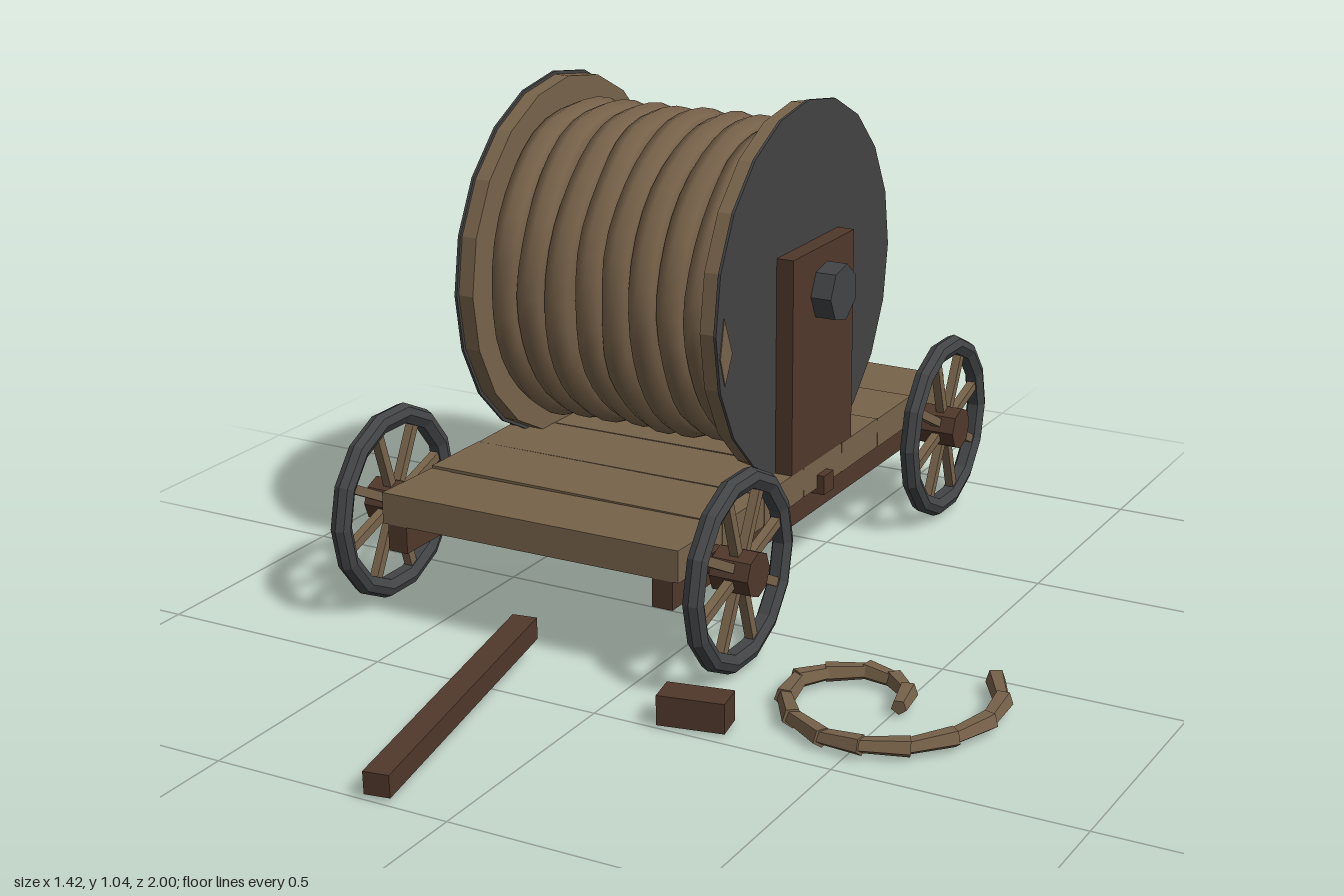
import * as THREE from 'three';

const mat = (name, color) => {
  const m = new THREE.MeshStandardMaterial({ color });
  m.name = name;
  return m;
};

export function createModel() {
  const wood = mat('pale wood', 0x77634a);
  const brown = mat('dark wood', 0x50382b);
  const iron = mat('iron', 0x424446);
  const plateIron = mat('plate iron', 0x434343);
  const rope = mat('rope', 0x766149);

  const root = new THREE.Group();
  const CX = -0.26;

  let seed = 7;
  const rand = () => (seed = (seed * 16807) % 2147483647) / 2147483647;

  const add = (name, geo, material, x = 0, y = 0, z = 0, parent = root) => {
    const m = new THREE.Mesh(geo, material);
    m.name = name;
    m.position.set(x, y, z);
    parent.add(m);
    return m;
  };
  const box = (name, material, w, h, d, x, y, z, parent) =>
    add(name, new THREE.BoxGeometry(w, h, d), material, x, y, z, parent);
  const faceted = (geo) => {
    const g = geo.toNonIndexed();
    g.computeVertexNormals();
    return g;
  };
  // cylinder lying along x, with flat facets
  const rod = (name, material, r, len, sides, x, y, z, parent) =>
    add(name, faceted(new THREE.CylinderGeometry(r, r, len, sides).rotateZ(Math.PI / 2)), material, x, y, z, parent);

  // thick deck planks, each slightly out of true
  const bed = new THREE.Group();
  bed.name = 'cartBed';
  root.add(bed);
  for (let i = 0; i < 7; i++) {
    const p = box('deckPlank', wood, 0.686, 0.066, 0.1755, CX, 0.249, 0.232 - i * 0.179, bed);
    p.rotation.set((rand() - 0.5) * 0.05, 0, (rand() - 0.5) * 0.01);
  }
  // side boards and lower rails
  for (const s of [-1, 1]) {
    box('sideBoard', wood, 0.045, 0.06, 1.24, CX + s * 0.32, 0.248, -0.305, bed);
    box('lowerRail', brown, 0.045, 0.06, 1.25, CX + s * 0.308, 0.19, -0.305, bed);
  }
  // cross beams poking out at the sides
  for (const z of [0.19, -0.30, -0.79])
    box('crossBeam', brown, 0.72, 0.042, 0.045, CX, 0.226, z, bed);

  // wheels: faceted rim, spokes and hub
  const rimProfile = [[0.166, -0.012], [0.184, -0.022], [0.2, -0.016], [0.207, 0],
    [0.2, 0.016], [0.184, 0.022], [0.166, 0.012], [0.166, -0.012]]
    .map(([r, y]) => new THREE.Vector2(r, y));
  const rimGeo = faceted(new THREE.LatheGeometry(rimProfile, 14).rotateZ(Math.PI / 2));
  for (const s of [-1, 1]) for (const z of [0.19, -0.79]) {
    const wheel = new THREE.Group();
    wheel.name = 'wheel';
    wheel.position.set(CX + s * 0.407, 0.211, z);
    root.add(wheel);
    add('wheelRim', rimGeo, iron, 0, 0, 0, wheel);
    rod('wheelHub', brown, 0.047, 0.085, 8, 0, 0, 0, wheel);
    rod('axleStub', brown, 0.018, 0.1, 6, -s * 0.06, 0, 0, wheel);
    for (let i = 0; i < 8; i++) {
      const a = (i + 0.4) * Math.PI / 4;
      const spoke = box('spoke', wood, 0.019, 0.14, 0.019, 0, Math.cos(a) * 0.11, Math.sin(a) * 0.11, wheel);
      spoke.rotation.x = a;
    }
  }

  // drum: wooden flanges with iron outer faces, uprights and axle ends
  const DY = 0.645, DZ = -0.30;
  for (const s of [-1, 1]) {
    rod('drumFlange', wood, 0.388, 0.034, 20, CX + s * 0.281, DY, DZ);
    rod('flangePlate', plateIron, 0.395, 0.006, 20, CX + s * 0.301, DY, DZ);
    box('upright', brown, 0.038, 0.46, 0.28, CX + s * 0.324, 0.512, DZ);
  }
  rod('drumAxle', iron, 0.061, 0.777, 7, CX, DY, DZ);
  rod('drumCore', rope, 0.31, 0.54, 20, CX, DY, DZ);

  // bare wooden patch where the plate has chipped
  const chip = new THREE.Shape([[0.064, 0.675], [0.03, 0.595], [0.06, 0.535], [0.08, 0.595]]
    .map(([z, y]) => new THREE.Vector2(-z, y)));
  add('plateChip', new THREE.ExtrudeGeometry(chip, { depth: 0.004, bevelEnabled: false }).rotateY(Math.PI / 2),
    wood, CX + 0.302, 0, 0);

  // wound rope: uneven loops side by side
  for (let i = 0; i < 8; i++) {
    const pts = [];
    for (let k = 0; k < 16; k++) {
      const a = k / 16 * Math.PI * 2;
      const r = 0.306 + (rand() - 0.5) * 0.01;
      pts.push(new THREE.Vector3((rand() - 0.5) * 0.009, Math.cos(a) * r, Math.sin(a) * r));
    }
    const loop = new THREE.CatmullRomCurve3(pts, true);
    add('ropeLoop', new THREE.TubeGeometry(loop, 40, 0.038, 8, true), rope, CX + (i - 3.5) * 0.0655, DY - 0.002, DZ);
  }

  // loose rope end curled on the ground
  const curl = [[0.63, 0.04], [0.68, 0.13], [0.688, 0.22], [0.66, 0.32], [0.60, 0.39], [0.52, 0.43],
    [0.44, 0.425], [0.36, 0.38], [0.305, 0.30], [0.295, 0.22], [0.33, 0.16], [0.40, 0.125],
    [0.46, 0.135], [0.505, 0.18], [0.515, 0.235]]
    .map(([x, z], i) => new THREE.Vector3(x, 0.024 + (i % 2) * 0.003, z));
  for (let i = 0; i < curl.length - 1; i++) {
    const a = curl[i], b = curl[i + 1];
    const g = faceted(new THREE.CylinderGeometry(0.016, 0.021, a.distanceTo(b) + 0.015, 5).rotateX(Math.PI / 2));
    const seg = add('looseRope', g, rope);
    seg.position.lerpVectors(a, b, 0.5);
    seg.lookAt(b);
  }

  // fallen draw pole and wheel chock
  const p0 = new THREE.Vector3(-0.257, 0.066, 0.335), p1 = new THREE.Vector3(-0.153, 0.034, 0.993);
  const pole = box('drawPole', brown, 0.052, 0.046, p0.distanceTo(p1), 0, 0, 0);
  pole.position.lerpVectors(p0, p1, 0.5);
  pole.lookAt(p1);
  const chock = box('chock', brown, 0.135, 0.061, 0.066, 0.194, 0.038, 0.453);
  chock.rotation.y = 0.19;

  return root;
}
